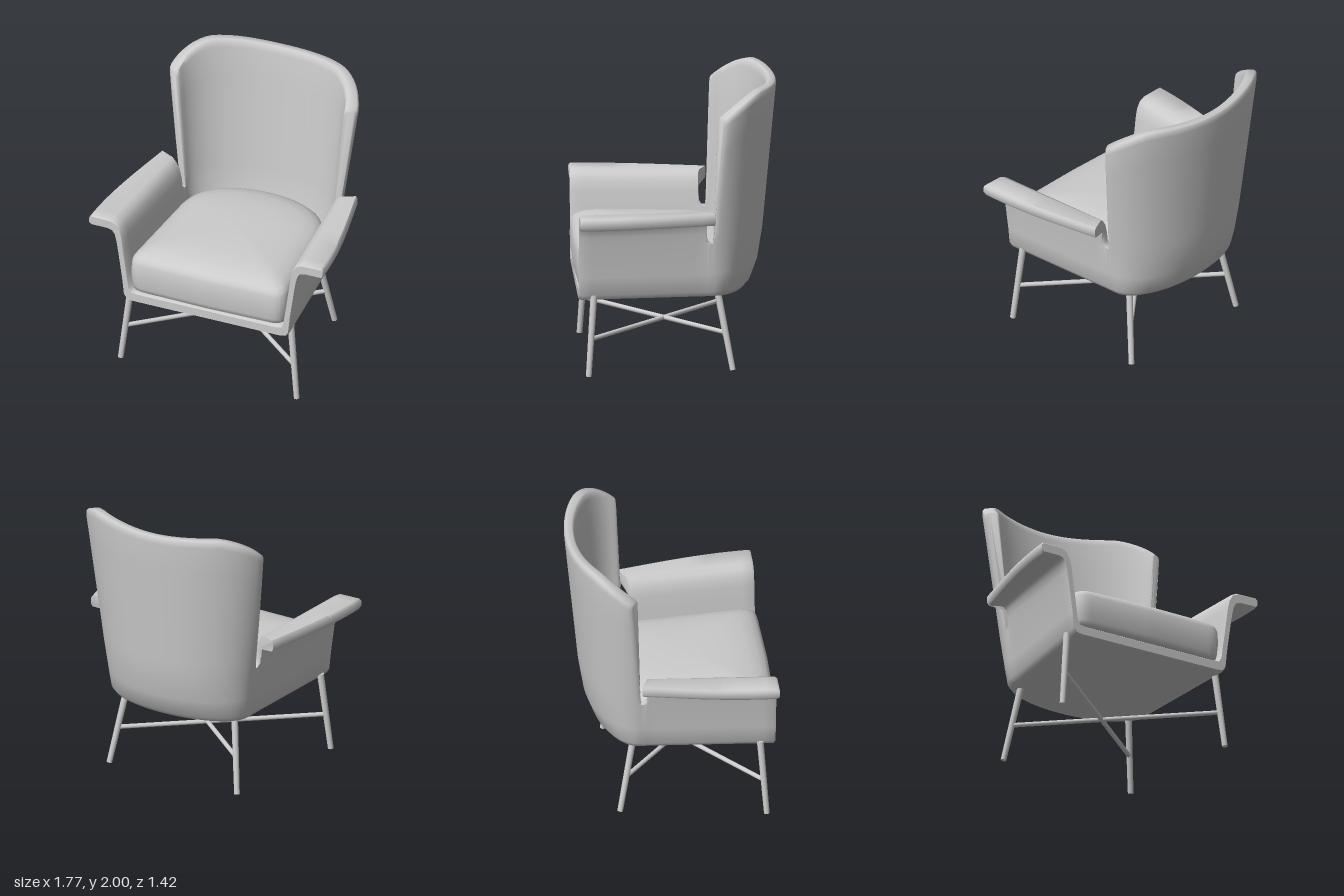
import * as THREE from 'three';
import { toCreasedNormals } from 'three/addons/utils/BufferGeometryUtils.js';

const mat = new THREE.MeshStandardMaterial({ color: 0xcccccc });
const lerp = THREE.MathUtils.lerp;
const clamp = THREE.MathUtils.clamp;

// Skin a list of equal-length rings of Vector3; extra holds additional triangles.
function loft(rings, closed, extra = []) {
  const n = rings[0].length, index = [...extra];
  for (let i = 0; i < rings.length - 1; i++) {
    for (let j = 0; j < (closed ? n : n - 1); j++) {
      const k = (j + 1) % n, a = i * n, b = a + n;
      index.push(a + j, b + j, b + k, a + j, b + k, a + k);
    }
  }
  const geo = new THREE.BufferGeometry().setFromPoints(rings.flat());
  geo.setIndex(index);
  return toCreasedNormals(geo, 0.9);
}

function add(group, name, geo) {
  const mesh = new THREE.Mesh(geo, mat);
  mesh.name = name;
  group.add(mesh);
}

// Arm half-section at the front: outer x, y, inner x, y
const armRows = [
  [0, 0.53, 0, 0.61], [0.3, 0.53, 0.3, 0.61], [0.56, 0.53, 0.53, 0.61],
  [0.603, 0.538, 0.563, 0.617], [0.627, 0.572, 0.582, 0.645], [0.64, 0.7, 0.597, 0.75],
  [0.672, 0.93, 0.622, 0.93], [0.684, 1.0, 0.634, 1.03], [0.697, 1.055, 0.649, 1.1],
  [0.718, 1.083, 0.676, 1.147], [0.75, 1.09, 0.72, 1.17], [0.87, 1.09, 0.87, 1.172],
  [0.884, 1.11, 0.884, 1.155],
];
// Lower back: outer half-width, depth, y, then the same for the inside
const backRows = [
  [0, 0, 0.53, 0, 0, 0.61], [0.23, 0.1, 0.53, 0.23, 0.1, 0.61],
  [0.49, 0.2, 0.53, 0.46, 0.18, 0.61], [0.533, 0.25, 0.54, 0.493, 0.22, 0.617],
  [0.557, 0.285, 0.577, 0.512, 0.245, 0.645], [0.57, 0.335, 0.71, 0.527, 0.27, 0.75],
  [0.602, 0.37, 0.93, 0.552, 0.3, 0.93],
];
const backSteps = [0.08, 0.4, 0.75, 0.95, 0.988, 1];
const BACK_Z = -0.25, SLOT_Y = 0.93, ROWS = armRows.length;

// Join outer and inner points into one profile, thinning each pair by its factor
function profile(pairs) {
  const outer = [], inner = [];
  for (const [o, i, f] of pairs) {
    outer.push(o.clone().lerp(i, (1 - f) / 2));
    inner.unshift(i.clone().lerp(o, (1 - f) / 2));
  }
  return [...outer, ...inner];
}

// Arm station at depth z; where cutY is given the wall stops at that height
function armStation(z, thick = 1, cutY = 0) {
  const g = clamp((0.69 - z) / 0.89, 0, 1), d = (cutY - SLOT_Y) * 0.15;
  const place = (x, y) => {
    const tip = clamp((x - 0.68) / 0.2, 0, 1);
    const shift = lerp(0.07 * g * Math.min(1, x / 0.5), 0.14 * g ** 1.8, tip);
    return new THREE.Vector3(x - shift, y, z - 0.06 * tip * g ** 6);
  };
  return profile(armRows.map((r, k) => {
    const cut = cutY && k > 6;
    const [xo, yo, xi, yi] = cut ? [0.672 + d, cutY, 0.622 + d, cutY] : r;
    return [place(xo, yo), place(xi, yi), cut ? 0.75 : thick];
  }));
}

// Back station at angle phi: 0 at the wing edge, PI / 2 at the centre line
function backStation(phi, thick = 1, slot = false) {
  const e = Math.max(0, 1 - phi / 0.76), c = phi / (Math.PI / 2);
  const top = 2 - 0.17 * e ** 1.5 - 0.02 * THREE.MathUtils.smoothstep(phi, 0.76, 1.57);
  const at = (a, b, y, lean) => {
    const p = phi + lean * clamp((y - SLOT_Y) / 0.9, 0, 1) * (1 - c);
    return new THREE.Vector3(a * Math.cos(p), y, BACK_Z - b * Math.sin(p));
  };
  const pairs = backRows.map(r => [at(r[0], r[1], r[2], 0), at(r[3], r[4], r[5], 0), 1]);
  for (const s of backSteps) {
    const y = slot ? SLOT_Y : lerp(SLOT_Y, top, s), t = (y - SLOT_Y) / 1.07;
    const f = slot ? 0.75 : thick * (s === 1 ? 0.6 : s > 0.98 ? 0.9 : 1);
    pairs.push([
      at(lerp(0.602, 0.757, t), lerp(0.37, 0.47, t), y, 0.17),
      at(lerp(0.552, 0.643, t), lerp(0.3, 0.395, t), y, 0.05), f]);
  }
  return profile(pairs);
}

function shellGeometry() {
  const half = [armStation(0.69, 0.75), armStation(0.675)];
  for (let i = 1; i <= 12; i++) half.push(armStation(lerp(0.675, -0.2, i / 12)));
  // Rounded slot between arm and wing
  for (const [z, y] of [[-0.202, 1.06], [-0.206, 0.97], [-0.215, 0.945], [-0.23, SLOT_Y]]) {
    half.push(armStation(z, 1, y));
  }
  half.push(backStation(0, 1, true), backStation(0.008, 0.65), backStation(0.03, 0.88), backStation(0.08));
  for (let i = 1; i <= 18; i++) half.push(backStation(lerp(0.08, Math.PI / 2, i / 18)));
  // Mirror the half across the centre line
  const mirrored = half.slice(0, -1).reverse()
    .map(ring => ring.map(p => new THREE.Vector3(-p.x, p.y, p.z)));
  const rings = [...half, ...mirrored];
  // Front edge caps
  const caps = [], n = ROWS * 2, last = (rings.length - 1) * n;
  for (let k = 0; k < ROWS - 1; k++) {
    const q = [k, k + 1, n - 2 - k, n - 1 - k];
    caps.push(q[0], q[1], q[2], q[0], q[2], q[3]);
    caps.push(last + q[0], last + q[2], last + q[1], last + q[0], last + q[3], last + q[2]);
  }
  return loft(rings, false, caps);
}

// Domed cushion: one plan outline stacked at several scales and heights
function cushionGeometry() {
  const s = new THREE.Shape();
  s.moveTo(0, 0.705);
  s.lineTo(0.5, 0.695);
  s.quadraticCurveTo(0.588, 0.69, 0.585, 0.6);
  s.lineTo(0.53, -0.1);
  s.bezierCurveTo(0.51, -0.34, 0.3, -0.475, 0, -0.475);
  s.bezierCurveTo(-0.3, -0.475, -0.51, -0.34, -0.53, -0.1);
  s.lineTo(-0.585, 0.6);
  s.quadraticCurveTo(-0.588, 0.69, -0.5, 0.695);
  s.lineTo(0, 0.705);
  const outline = s.getSpacedPoints(120).slice(0, -1).reverse();
  const layers = [[0, 0.615], [0.955, 0.615], [0.982, 0.628], [0.995, 0.66], [1.008, 0.76],
    [1, 0.845], [0.985, 0.873], [0.95, 0.895], [0.88, 0.918], [0.75, 0.94], [0.5, 0.955], [0, 0.958]];
  return loft(layers.map(([k, y]) =>
    outline.map(p => new THREE.Vector3(p.x * k, y, 0.11 + (p.y - 0.11) * k))), true);
}

// Round rod between two points
function rod(a, b, r0, r1) {
  const from = new THREE.Vector3(...a), dir = new THREE.Vector3(...b).sub(from);
  const geo = new THREE.CylinderGeometry(r1, r0, dir.length(), 20);
  geo.translate(0, dir.length() / 2, 0);
  geo.applyQuaternion(new THREE.Quaternion().setFromUnitVectors(
    new THREE.Vector3(0, 1, 0), dir.normalize()));
  return geo.translate(from.x, from.y, from.z);
}

export function createModel() {
  const chair = new THREE.Group();
  chair.name = 'armchair';
  add(chair, 'shell', shellGeometry());
  add(chair, 'seatCushion', cushionGeometry());
  // Splayed legs and the crossed stretchers
  const base = new THREE.Group();
  base.name = 'legFrame';
  base.position.x = -0.008;
  for (const [side, m] of [['left', 1], ['right', -1]]) {
    add(base, side + 'FrontLeg', rod([m * 0.666, 0.002, 0.622], [m * 0.606, 0.57, 0.583], 0.02, 0.024));
    add(base, side + 'BackLeg', rod([m * 0.522, 0.004, -0.39], [m * 0.437, 0.57, -0.285], 0.02, 0.024));
    add(base, side + 'Stretcher', rod([m * 0.638, 0.263, 0.604], [-m * 0.483, 0.263, -0.342], 0.016, 0.016));
  }
  chair.add(base);
  return chair;
}
